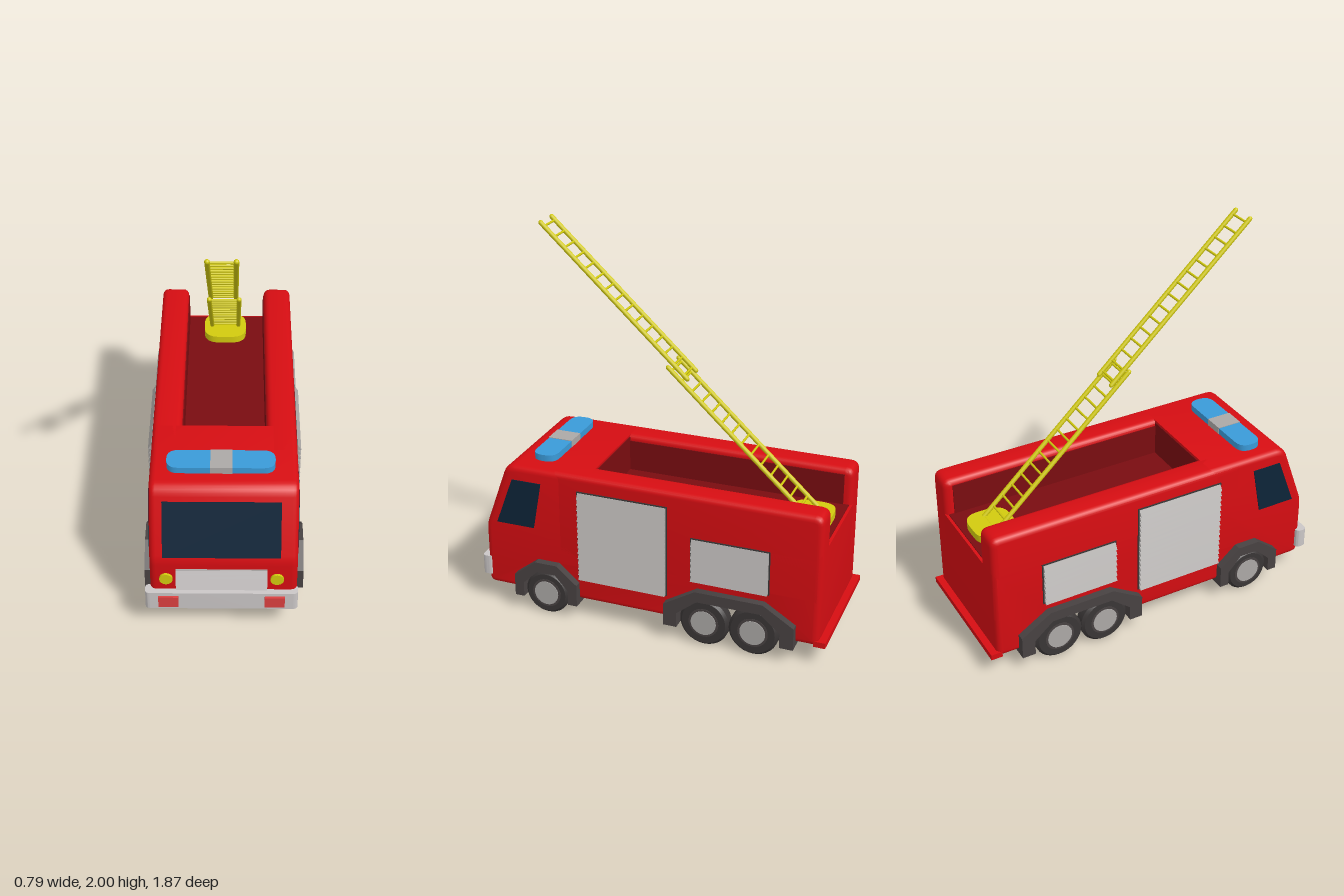
import * as THREE from 'three';
import { toCreasedNormals } from 'three/addons/utils/BufferGeometryUtils.js';

const mat = (name, color) => Object.assign(new THREE.MeshStandardMaterial({ color }), { name });
const red = mat('red paint', 0xd60d12);
const darkRed = mat('bed lining', 0x7a0c10);
const silver = mat('bumper silver', 0xcac6c6);
const grey = mat('shutter grey', 0xaba8a6);
const charcoal = mat('fender charcoal', 0x484242);
const rubber = mat('tyre rubber', 0x3a3636);
const glass = mat('glass', 0x0d2438);
const blue = mat('beacon blue', 0x3a9ad8);
const yellow = mat('ladder yellow', 0xd2ca0e);
const lampRed = mat('lamp red', 0xdc4040);

export function createModel() {
  const root = new THREE.Group();
  root.name = 'fireEngine';

  const add = (name, geo, material, x = 0, y = 0, z = 0, parent = root) => {
    const mesh = new THREE.Mesh(geo, material);
    mesh.name = name;
    mesh.position.set(x, y, z);
    parent.add(mesh);
    return mesh;
  };
  const box = (w, h, d) => new THREE.BoxGeometry(w, h, d);

  // Closed shape from [u, v, cornerRadius] points
  const roundedShape = (pts) => {
    const shape = new THREE.Shape();
    pts.forEach(([u, v, r = 0], i) => {
      const p = new THREE.Vector2(u, v);
      const toward = (q) => p.clone().add(new THREE.Vector2(q[0] - u, q[1] - v).setLength(r));
      const a = toward(pts[(i + pts.length - 1) % pts.length]);
      const b = toward(pts[(i + 1) % pts.length]);
      if (i === 0) shape.moveTo(a.x, a.y); else shape.lineTo(a.x, a.y);
      if (r) shape.quadraticCurveTo(u, v, b.x, b.y);
    });
    return shape;
  };

  // Side profile of [z, y, radius] points, extruded from x0 to x1
  const sideExtrude = (pts, x0, x1, bevel = 0) => {
    const geo = new THREE.ExtrudeGeometry(roundedShape(pts), {
      depth: x1 - x0 - 2 * bevel, bevelEnabled: bevel > 0, bevelThickness: bevel,
      bevelSize: bevel, bevelOffset: -bevel, bevelSegments: 4, curveSegments: 5,
    });
    geo.translate(0, 0, bevel - x1).rotateY(-Math.PI / 2);
    return toCreasedNormals(geo, 0.6);
  };

  // Horizontal slab with rounded plan corners, standing on y = 0
  const slab = (w, h, d, r) => {
    const x = w / 2, z = d / 2;
    const geo = new THREE.ExtrudeGeometry(
      roundedShape([[-x, -z, r], [x, -z, r], [x, z, r], [-x, z, r]]),
      { depth: h, bevelEnabled: false, curveSegments: 8 });
    return toCreasedNormals(geo.rotateX(-Math.PI / 2), 0.6);
  };

  // Body: cab and chassis in one profile with cut-out wheel arches
  add('body', sideExtrude([
    [0.895, 0.1, 0.04], [0.895, 0.44, 0.03], [0.765, 0.8, 0.05], [0.32, 0.8], [0.32, 0.6],
    [-0.895, 0.6], [-0.895, 0.1, 0.04],
    [-0.75, 0.1], [-0.75, 0.18], [-0.62, 0.265], [-0.27, 0.265], [-0.135, 0.18], [-0.135, 0.1],
    [0.4, 0.1], [0.4, 0.18], [0.49, 0.26], [0.59, 0.26], [0.69, 0.18], [0.69, 0.1],
  ], -0.355, 0.355, 0.03), red);
  const wall = [[0.5, 0.8], [0.5, 0.32], [-0.895, 0.32], [-0.895, 0.8, 0.045]];
  add('bedWallLeft', sideExtrude(wall, 0.21, 0.355, 0.03), red);
  add('bedWallRight', sideExtrude(wall, -0.355, -0.21, 0.03), red);
  add('rearStep', box(0.71, 0.03, 0.06), red, 0, 0.115, -0.9);

  // Bed lining
  add('bedFloor', box(0.42, 0.006, 1.2), darkRed, 0, 0.602, -0.28);
  add('bedFront', box(0.42, 0.19, 0.006), darkRed, 0, 0.695, 0.318);
  for (const s of [-1, 1]) add('bedSide', box(0.006, 0.17, 1.17), darkRed, s * 0.208, 0.685, -0.265);

  // Cab front
  const windshield = add('windshield', box(0.565, 0.287, 0.009), glass, -0.01, 0.595, 0.839);
  windshield.rotation.x = -Math.atan2(0.13, 0.36);
  add('bumper', slab(0.74, 0.105, 0.06, 0.025), silver, -0.01, 0.15, 0.895);
  add('grille', box(0.44, 0.13, 0.012), grey, -0.01, 0.325, 0.895);
  for (let i = 0; i < 5; i++) {
    const slat = add('grilleSlat', box(0.44, 0.022, 0.01), silver, -0.01, 0.273 + i * 0.026, 0.903);
    slat.rotation.x = -0.3;
  }
  for (const s of [-1, 1]) {
    add('headlight', new THREE.CylinderGeometry(0.032, 0.032, 0.025, 24).rotateX(Math.PI / 2),
      yellow, -0.01 + s * 0.267, 0.33, 0.895);
    add('bumperLamp', box(0.097, 0.065, 0.02), lampRed, -0.01 + s * 0.257, 0.203, 0.926);
  }

  // Roof light bar
  add('lightBar', slab(0.52, 0.036, 0.128, 0.06), blue, -0.015, 0.798, 0.605);
  add('lightBarCentre', box(0.105, 0.04, 0.132), grey, -0.013, 0.817, 0.605);

  // Roller shutter of lapped slats on side s
  const shutter = (s, zFront, zBack, y0, y1) => {
    const n = Math.round((y1 - y0) / 0.03), step = (y1 - y0) / n;
    const pts = [[s * 0.35, y1], [s * 0.35, y0]];
    for (let i = 0; i < n; i++) {
      pts.push([s * 0.38, y0 + i * step], [s * 0.362, y0 + (i + 1) * step]);
    }
    const geo = new THREE.ExtrudeGeometry(roundedShape(pts), { depth: zFront - zBack, bevelEnabled: false });
    add('shutter', geo, grey, 0, 0, zBack);
    add('shutterFrame', box(0.008, y1 - y0 + 0.012, zFront - zBack + 0.012), rubber,
      s * 0.356, (y0 + y1) / 2, (zFront + zBack) / 2);
  };
  const windowShape = [[0.825, 0.47], [0.73, 0.725], [0.57, 0.725], [0.617, 0.47]];
  for (const s of [-1, 1]) {
    add('sideWindow', sideExtrude(windowShape, s * 0.355 - 0.004, s * 0.355 + 0.004), glass);
    shutter(s, 0.365, -0.105, 0.23, 0.715);
    shutter(s, -0.24, -0.635, 0.345, 0.57);
  }

  // Fenders: angular arches running across the full width
  const fender = (name, back, topBack, topFront, front, top, leg) => add(name, sideExtrude([
    [front, 0.08], [front, 0.2], [topFront, top], [topBack, top], [back, 0.2], [back, 0.08],
    [back + leg, 0.08], [back + leg, 0.16], [topBack + 0.01, top - 0.055],
    [topFront - 0.01, top - 0.055], [front - leg, 0.16], [front - leg, 0.08],
  ], -0.395, 0.395), charcoal);
  fender('frontFender', 0.37, 0.48, 0.6, 0.72, 0.293, 0.05);
  fender('rearFender', -0.78, -0.62, -0.27, -0.105, 0.3, 0.07);

  // Wheels and axles
  const tyre = (r, h = 0.0375, c = 0.014) => toCreasedNormals(new THREE.LatheGeometry(
    [[0, -h], [r - c, -h], [r, c - h], [r, h - c], [r - c, h], [0, h]].map((p) => new THREE.Vector2(...p)),
    32).rotateZ(Math.PI / 2), 0.6);
  const disc = (r, w) => new THREE.CylinderGeometry(r, r, w, 32).rotateZ(Math.PI / 2);
  for (const [z, r] of [[0.545, 0.119], [-0.315, 0.128], [-0.57, 0.128]]) {
    const axleSet = new THREE.Group();
    axleSet.name = 'wheelPair';
    axleSet.position.set(0, r, z);
    root.add(axleSet);
    add('axle', disc(0.032, 0.66), charcoal, 0, 0, 0, axleSet);
    for (const s of [-1, 1]) {
      add('tyre', tyre(r), rubber, s * 0.345, 0, 0, axleSet);
      add('rim', disc(0.078, 0.01), charcoal, s * 0.38, 0, 0, axleSet);
      add('hub', disc(0.066, 0.01), grey, s * 0.383, 0, 0, axleSet);
    }
  }

  // Turntable and two-stage ladder
  add('turntable', slab(0.23, 0.04, 0.22, 0.085), yellow, -0.005, 0.604, -0.74);
  const ladder = (name, x, y, z, halfWidth, length) => {
    const g = new THREE.Group();
    g.name = name;
    g.position.set(x, y, z);
    g.rotation.x = Math.atan2(1, 0.93);
    root.add(g);
    for (const s of [-1, 1]) {
      add('rail', new THREE.CapsuleGeometry(0.012, length - 0.024, 4, 10), yellow, s * halfWidth, length / 2, 0, g);
    }
    const n = 15;
    for (let i = 0; i < n; i++) {
      add('rung', new THREE.CylinderGeometry(0.006, 0.006, halfWidth * 2, 8).rotateZ(Math.PI / 2),
        yellow, 0, (i + 0.5) * length / n, 0, g);
    }
  };
  ladder('lowerLadder', -0.005, 0.615, -0.775, 0.073, 1.06);
  ladder('upperLadder', -0.009, 1.268, -0.11, 0.062, 1.066);

  return root;
}
